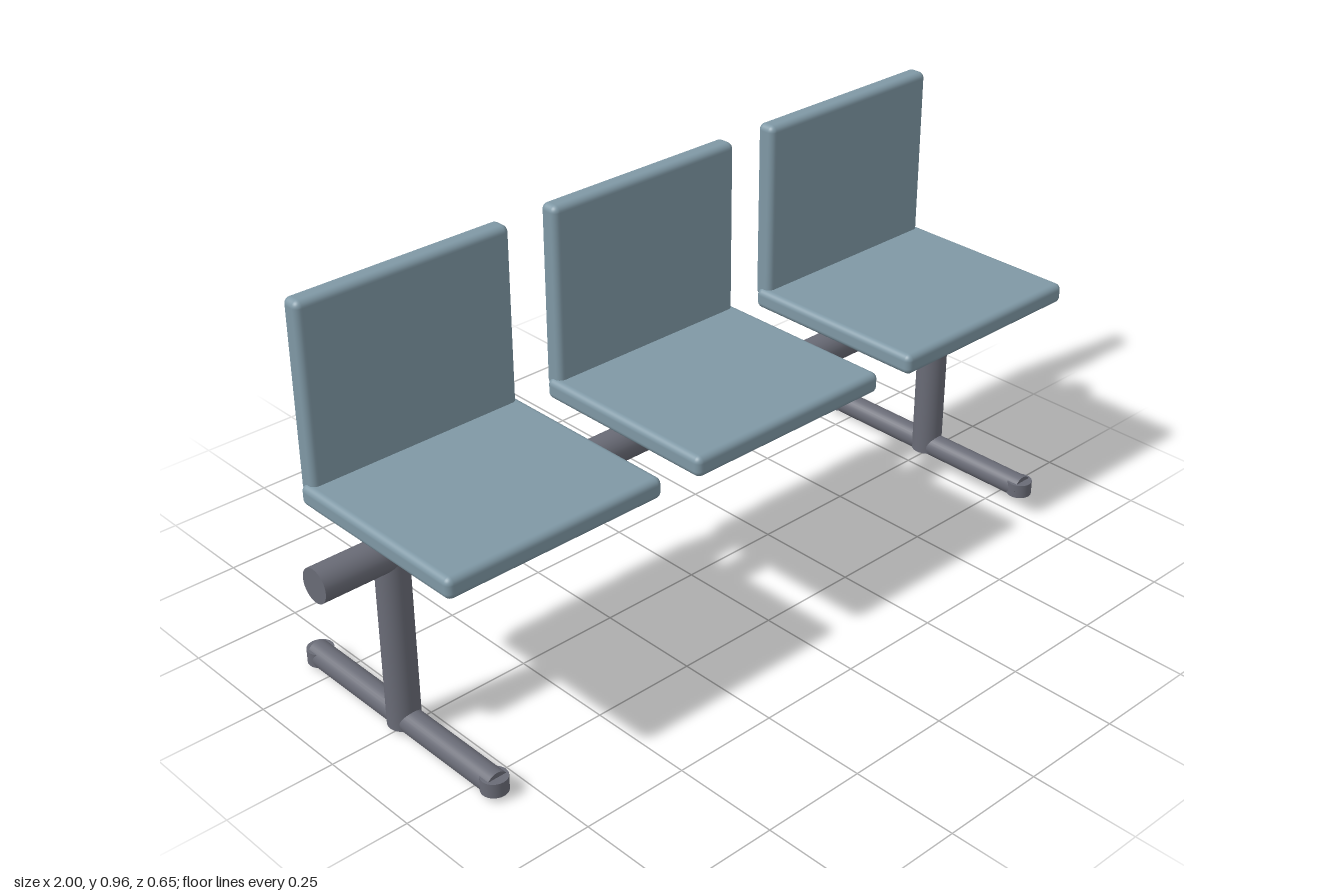
import * as THREE from 'three';
import { RoundedBoxGeometry } from 'three/addons/geometries/RoundedBoxGeometry.js';

export function createModel() {
  const model = new THREE.Group();
  model.name = 'beamSeating';
  const upholstery = new THREE.MeshStandardMaterial({ color: 0x7f98a5 });
  upholstery.name = 'blue grey seat';
  const metal = new THREE.MeshStandardMaterial({ color: 0x696b76 });
  metal.name = 'dark grey metal';

  function add(parent, name, geometry, material, x, y, z) {
    const mesh = new THREE.Mesh(geometry, material);
    mesh.name = name;
    mesh.position.set(x, y, z);
    parent.add(mesh);
    return mesh;
  }
  const tube = (radius, length) => new THREE.CylinderGeometry(radius, radius, length, 32);

  // Horizontal beam carrying the seats
  add(model, 'beam', tube(0.0385, 2), metal, 0, 0.434, 0).rotation.z = Math.PI / 2;

  // Three seats, each with a backrest and a bracket on the beam
  for (const x of [-0.637, 0, 0.637]) {
    const seat = new THREE.Group();
    seat.name = 'seatUnit';
    seat.position.x = x;
    model.add(seat);
    add(seat, 'seat', new RoundedBoxGeometry(0.54, 0.048, 0.477, 4, 0.015), upholstery, 0, 0.526, 0.0685);
    add(seat, 'backrest', new RoundedBoxGeometry(0.52, 0.43, 0.048, 4, 0.015), upholstery, 0, 0.741, -0.159);
    add(seat, 'bracket', new THREE.BoxGeometry(0.068, 0.07, 0.18), metal, 0, 0.47, 0);
  }

  // Two legs, each on a floor bar with a round pad at both ends
  for (const x of [-0.818, 0.818]) {
    const leg = new THREE.Group();
    leg.name = 'legUnit';
    leg.position.x = x;
    model.add(leg);
    add(leg, 'post', tube(0.0365, 0.407), metal, 0, 0.2165, 0);
    add(leg, 'footBar', tube(0.0285, 0.614), metal, 0, 0.0285, 0).rotation.x = Math.PI / 2;
    for (const z of [-0.297, 0.297]) {
      add(leg, 'footPad', tube(0.03, 0.034), metal, 0, 0.0285, z);
    }
  }
  return model;
}
